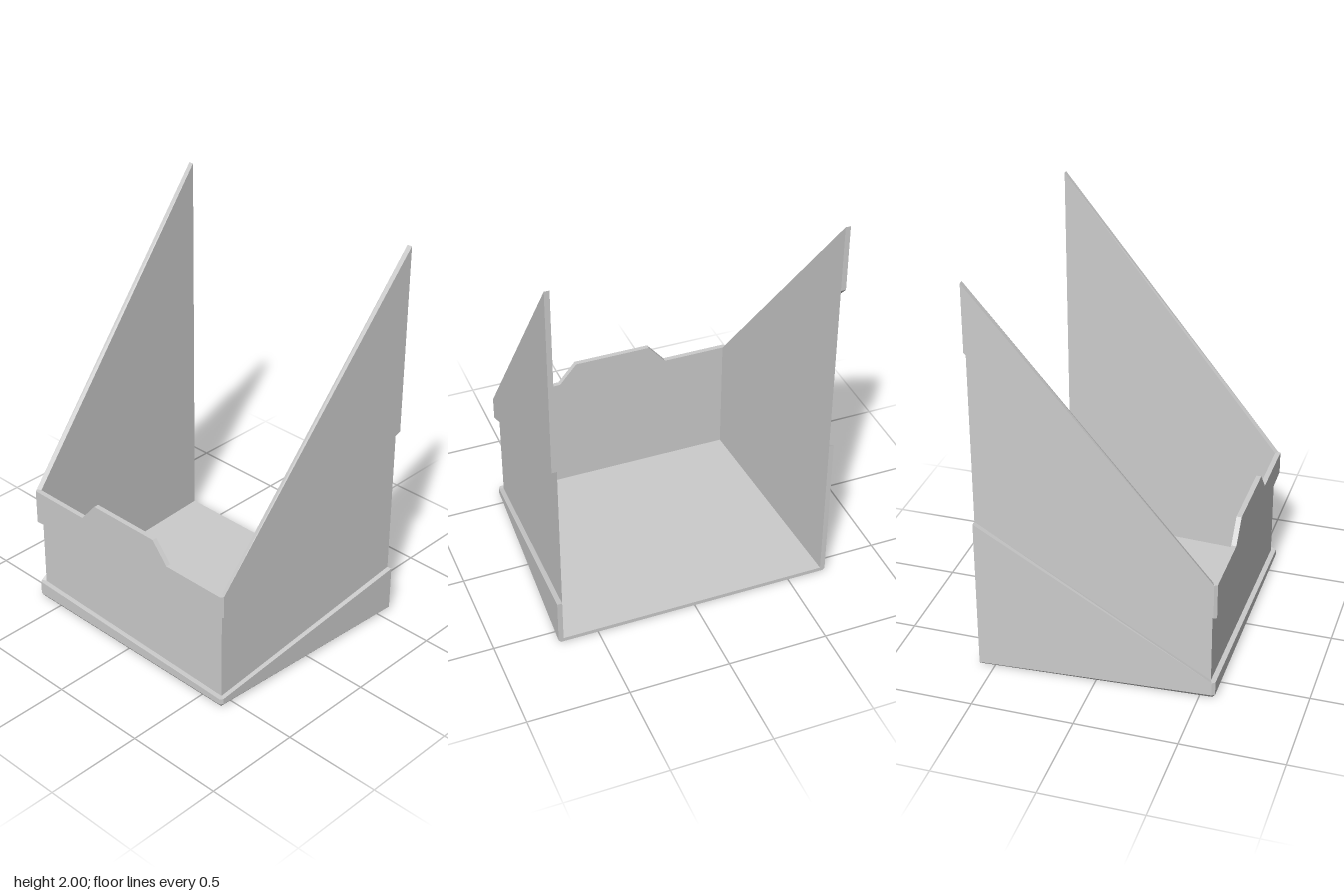
import * as THREE from 'three';
import { ConvexGeometry } from 'three/addons/geometries/ConvexGeometry.js';

const grey = new THREE.MeshStandardMaterial({ color: 0xcccccc });
grey.name = 'light grey';
const greySheet = new THREE.MeshStandardMaterial({ color: 0xcccccc, side: THREE.DoubleSide });
greySheet.name = 'light grey sheet';

// Plan corners [x, z] of the right half
const INNER_BACK = [0.675, -0.575], INNER_FRONT = [0.615, 0.55];
const OUTER_BACK = [0.7, -0.575], OUTER_FRONT = [0.638, 0.56], FRONT_CORNER = [0.628, 0.575];
const FLOOR = 0.02, RIM = 0.635, PEAK = 2;

// Recess edges for each side: heights at the front corner and at the back
const RECESS = {
  right: { s: 1, low: [0.05, 0.245], high: [0.52, 1.04] },
  left: { s: -1, low: [0.09, 0.79], high: [0.455, 1.67] },
};

export function createModel() {
  const group = new THREE.Group();
  group.name = 'openBin';

  const add = (name, geometry, material = grey) => {
    const mesh = new THREE.Mesh(geometry, material);
    mesh.name = name;
    group.add(mesh);
  };

  // Convex solid over plan corners, each given as [[x, z], yBottom, yTop]
  const solid = (name, columns) => {
    const pts = [];
    for (const [[x, z], y0, y1] of columns) {
      pts.push(new THREE.Vector3(x, y0, z), new THREE.Vector3(x, y1, z));
    }
    add(name, new ConvexGeometry(pts));
  };

  // Thin four-cornered sheet standing between two plan corners
  const sheet = (name, a, a0, a1, b, b0, b1) => {
    const g = new THREE.BufferGeometry();
    g.setAttribute('position', new THREE.Float32BufferAttribute([
      a[0], a0, a[1], b[0], b0, b[1], b[0], b1, b[1], a[0], a1, a[1]], 3));
    g.setIndex([0, 1, 2, 0, 2, 3]);
    g.computeVertexNormals();
    add(name, g, greySheet);
  };

  const flip = (p, s) => [p[0] * s, p[1]];

  // Floor with bevelled lower edge
  const floorPts = [];
  for (const s of [1, -1]) {
    for (const [x, y, z] of [
      [0.7, 0.012, -0.575], [0.675, FLOOR, -0.575], [0.638, FLOOR, 0.56], [0.628, FLOOR, 0.575],
      [0.688, 0, -0.575], [0.622, 0, 0.56]]) {
      floorPts.push(new THREE.Vector3(x * s, y, z));
    }
  }
  add('floor', new ConvexGeometry(floorPts));

  // Side walls: an inner sheet with raised bands above and below a sloping recess
  for (const [side, { s, low, high }] of Object.entries(RECESS)) {
    const ib = flip(INNER_BACK, s), inf = flip(INNER_FRONT, s);
    const ob = flip(OUTER_BACK, s), of = flip(OUTER_FRONT, s), fc = flip(FRONT_CORNER, s);

    sheet(side + 'WallPanel', inf, low[0], high[0], ib, low[1], high[1]);
    solid(side + 'WallLowerBand', [
      [ib, 0.012, low[1]], [ob, 0.012, low[1]], [inf, FLOOR, low[0]], [of, FLOOR, low[0]]]);
    solid(side + 'WallUpperBand', [
      [ib, high[1], PEAK], [ob, high[1], PEAK], [inf, high[0], RIM], [of, high[0], RIM]]);

    // Chamfered front corners
    solid(side + 'CornerLower', [[inf, FLOOR, low[0]], [of, FLOOR, low[0]], [fc, FLOOR, low[0]]]);
    solid(side + 'CornerUpper', [[inf, high[0], RIM], [of, high[0], RIM], [fc, high[0], RIM]]);
  }

  // Front wall
  const { right: R, left: L } = RECESS;
  const li = flip(INNER_FRONT, -1), lf = flip(FRONT_CORNER, -1);
  sheet('frontWallPanel', li, L.low[0], L.high[0], INNER_FRONT, R.low[0], R.high[0]);
  solid('frontWallLowerBand', [
    [li, FLOOR, L.low[0]], [lf, FLOOR, L.low[0]],
    [INNER_FRONT, FLOOR, R.low[0]], [FRONT_CORNER, FLOOR, R.low[0]]]);
  solid('frontWallUpperBand', [
    [li, L.high[0], RIM], [lf, L.high[0], RIM],
    [INNER_FRONT, R.high[0], RIM], [FRONT_CORNER, R.high[0], RIM]]);

  // Raised tab on the front rim
  const tab = new THREE.Shape([
    new THREE.Vector2(-0.29, RIM), new THREE.Vector2(0.285, RIM),
    new THREE.Vector2(0.195, 0.74), new THREE.Vector2(-0.2, 0.74)]);
  add('frontTab', new THREE.ExtrudeGeometry(tab, { depth: 0.025, bevelEnabled: false }).translate(0, 0, 0.55));

  return group;
}
